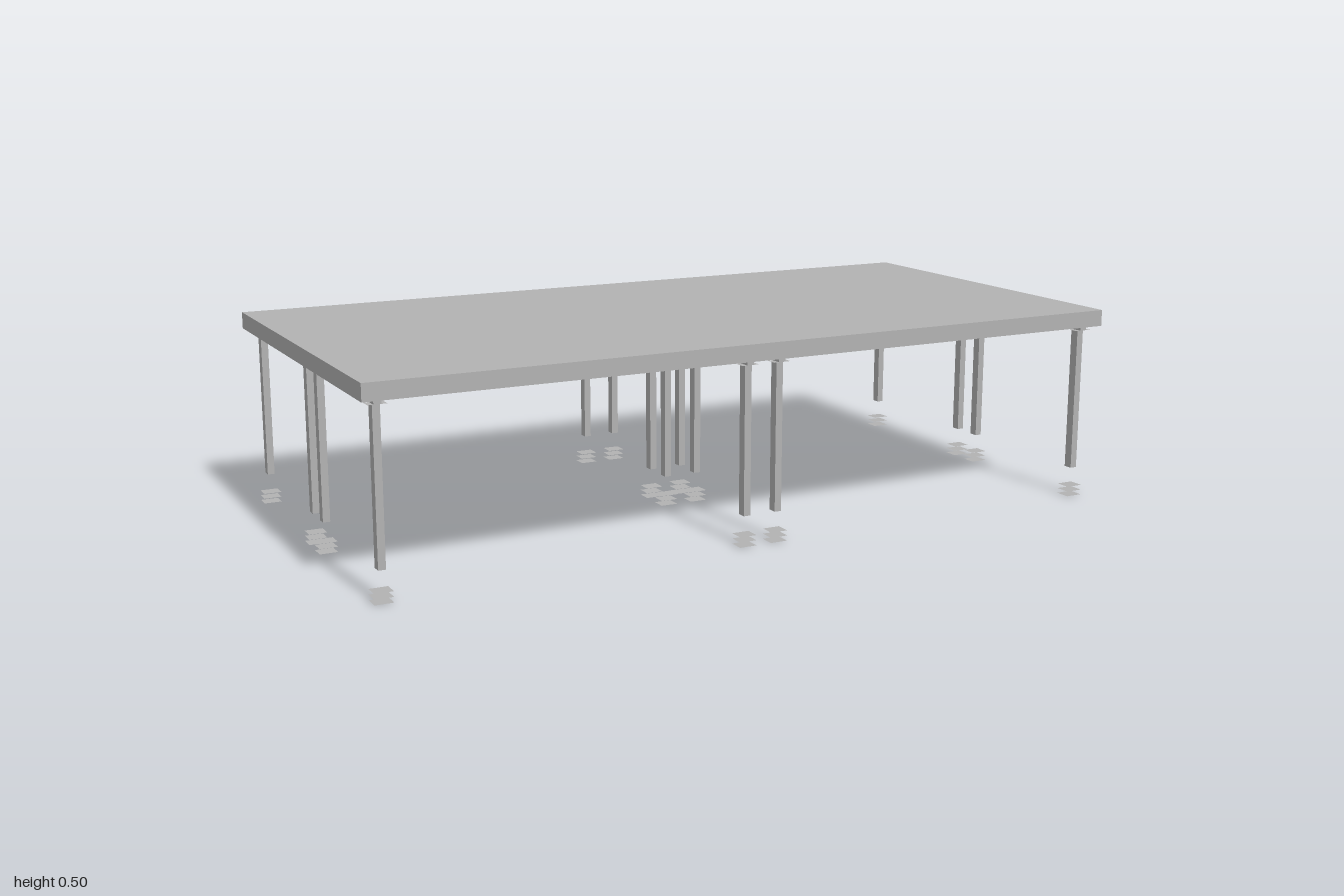
import * as THREE from 'three';

export function createModel() {
  const grey = new THREE.MeshStandardMaterial({ color: 0xb2b2b2 });
  grey.name = 'aluminium grey';
  // flat sheets are seen from both sides
  const sheetGrey = new THREE.MeshStandardMaterial({ color: 0xb2b2b2, side: THREE.DoubleSide });
  sheetGrey.name = 'sheet grey';

  const model = new THREE.Group();
  model.name = 'modularStage';

  function box(parent, name, w, h, d, x, y, z) {
    const mesh = new THREE.Mesh(new THREE.BoxGeometry(w, h, d), grey);
    mesh.name = name;
    mesh.position.set(x, y, z);
    parent.add(mesh);
  }

  function sheet(parent, name, w, d, x, y, z) {
    const geometry = new THREE.PlaneGeometry(w, d).rotateX(-Math.PI / 2);
    const mesh = new THREE.Mesh(geometry, sheetGrey);
    mesh.name = name;
    mesh.position.set(x, y, z);
    parent.add(mesh);
  }

  const W = 1, D = 0.5, TOP = 0.5, BOTTOM = 0.458, RIM = 0.018, BOARD = 0.018;

  // leg with its bracket under the frame and flat layered foot
  function addLeg(panel, x, z) {
    const leg = new THREE.Group();
    leg.name = 'legAssembly';
    leg.position.set(x, 0, z);
    box(leg, 'leg', 0.018, 0.405, 0.024, 0, 0.2775, 0);
    sheet(leg, 'bracketFlange', 0.06, 0.042, 0, 0.4565, 0.006);
    sheet(leg, 'bracketPlate', 0.045, 0.03, 0, 0.447, 0.008);
    box(leg, 'bracketBlock', 0.018, 0.011, 0.03, 0, 0.4525, 0.008);
    for (const y of [0, 0.013, 0.026]) sheet(leg, 'footPlate', 0.045, 0.04, 0, y, 0);
    panel.add(leg);
  }

  // one platform: board, rim, cross bars and four legs
  function addPanel(cx, cz) {
    const panel = new THREE.Group();
    panel.name = 'platform';
    panel.position.set(cx, 0, cz);
    box(panel, 'deckBoard', W, BOARD, D, 0, TOP - BOARD / 2, 0);
    const rimH = TOP - BOARD - BOTTOM, rimY = BOTTOM + rimH / 2;
    for (const s of [-1, 1]) {
      box(panel, 'longRail', W, rimH, RIM, 0, rimY, s * (D - RIM) / 2);
      box(panel, 'endRail', RIM, rimH, D - 2 * RIM, s * (W - RIM) / 2, rimY, 0);
    }
    for (const x of [-0.34, 0, 0.34])
      box(panel, 'crossBar', 0.016, 0.012, D - 2 * RIM, x, TOP - BOARD - 0.006, 0);
    for (const sx of [-1, 1])
      for (const sz of [-1, 1]) addLeg(panel, sx * 0.457 - 0.003, sz * 0.2075 + 0.003);
    model.add(panel);
  }

  for (const x of [-0.5, 0.5])
    for (const z of [-0.25, 0.25]) addPanel(x, z);

  return model;
}
